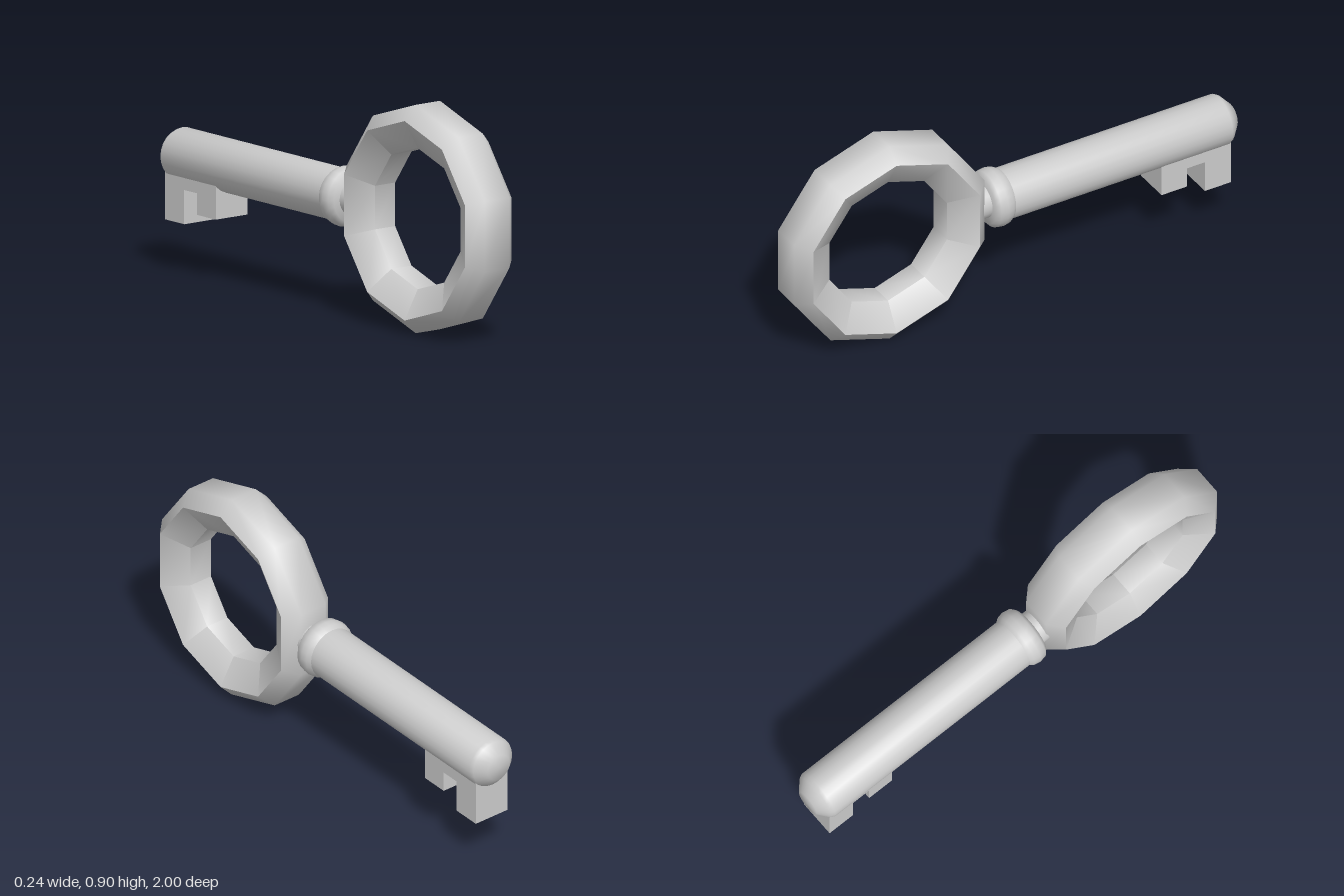
import * as THREE from 'three';
import { toCreasedNormals } from 'three/addons/utils/BufferGeometryUtils.js';

const material = new THREE.MeshStandardMaterial({ color: 0xcccccc });
const AXIS_Y = 0.45;

// Lathe from [radius, height] pairs
function lathe(points, segments) {
  return new THREE.LatheGeometry(points.map(([r, h]) => new THREE.Vector2(r, h)), segments);
}

function addPart(group, name, geometry, creaseDegrees) {
  const mesh = new THREE.Mesh(toCreasedNormals(geometry, THREE.MathUtils.degToRad(creaseDegrees)), material);
  mesh.name = name;
  group.add(mesh);
  return mesh;
}

export function createModel() {
  const key = new THREE.Group();
  key.name = 'key';

  // Ten-sided ring handle with a six-sided section, standing in the YZ plane
  const ring = lathe([
    [0.278, -0.05], [0.393, -0.115], [0.45, -0.06],
    [0.45, 0.06], [0.393, 0.115], [0.278, 0.05], [0.278, -0.05],
  ], 10);
  ring.rotateZ(Math.PI / 2).rotateX(Math.PI / 2);
  addPart(key, 'ringHandle', ring, 65).position.set(0, AXIS_Y, 0.573);

  // Turned parts: profile height runs towards the back
  const turned = (name, points) => {
    const geometry = lathe(points, 24).rotateX(-Math.PI / 2);
    addPart(key, name, geometry, 50).position.y = AXIS_Y;
  };
  turned('neck', [[0, -0.24], [0.07, -0.24], [0.07, -0.1], [0, -0.1]]);
  turned('collar', [
    [0, -0.115], [0.098, -0.115], [0.115, -0.1], [0.12, -0.07],
    [0.115, -0.045], [0.103, -0.028], [0, -0.028],
  ]);
  turned('shaft', [
    [0, -0.05], [0.104, -0.05], [0.104, 0.945], [0.096, 0.96], [0.054, 0.997], [0, 1],
  ]);

  // Toothed bit: side outline in (-z, y), extruded across x
  const outline = new THREE.Shape([
    [0.64, 0.42], [0.64, 0.25], [0.755, 0.25], [0.755, 0.335],
    [0.835, 0.335], [0.835, 0.2], [0.953, 0.2], [0.953, 0.42],
  ].map(([z, y]) => new THREE.Vector2(z, y)));
  const bit = new THREE.ExtrudeGeometry(outline, { depth: 0.156, bevelEnabled: false });
  bit.translate(0, 0, -0.078).rotateY(Math.PI / 2);
  addPart(key, 'bit', bit, 30);

  return key;
}
